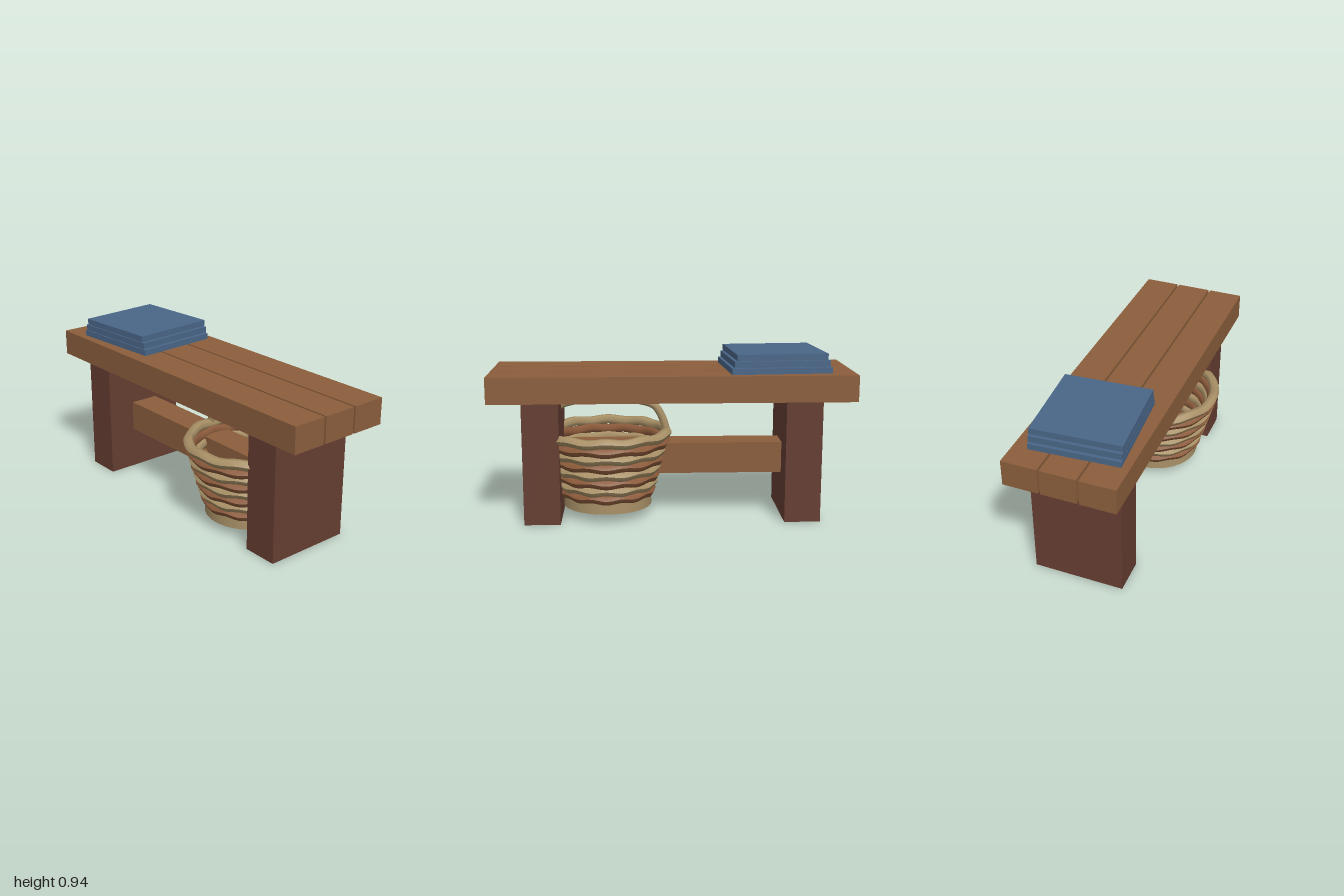
import * as THREE from 'three';

const mat = (name, color) => {
  const m = new THREE.MeshStandardMaterial({ color });
  m.name = name;
  return m;
};

export function createModel() {
  const plankWood = mat('plankWood', 0x8b5e3c);
  const legWood = mat('legWood', 0x653e32);
  const blueCloth = mat('blueCloth', 0x4a6688);
  const paleWicker = mat('paleWicker', 0xa89066);
  const brownWicker = mat('brownWicker', 0x8b5a3a);

  const model = new THREE.Group();
  model.name = 'bench';

  const add = (parent, name, geometry, material, x = 0, y = 0, z = 0) => {
    const mesh = new THREE.Mesh(geometry, material);
    mesh.name = name;
    mesh.position.set(x, y, z);
    parent.add(mesh);
    return mesh;
  };

  // Seat planks with narrow gaps
  for (const i of [-1, 0, 1]) {
    add(model, 'seatPlank', new THREE.BoxGeometry(2, 0.145, 0.193), plankWood, 0, 0.758, i * 0.205);
  }

  // Slab legs reach a little way into the gaps between the planks
  for (const side of [-1, 1]) {
    add(model, 'leg', new THREE.BoxGeometry(0.2, 0.72, 0.5), legWood, side * 0.72, 0.36, 0);
  }
  add(model, 'stretcher', new THREE.BoxGeometry(1.26, 0.175, 0.17), plankWood, 0, 0.333, 0);

  // Folded cloths, each a little narrower than the one below
  const cloths = new THREE.Group();
  cloths.name = 'foldedCloths';
  cloths.position.set(-0.577, 0.83, 0);
  cloths.rotation.y = 0.07;
  model.add(cloths);
  for (let i = 0; i < 3; i++) {
    add(cloths, 'foldedCloth', new THREE.BoxGeometry(0.552 - i * 0.026, 0.034, 0.482), blueCloth, 0, 0.017 + i * 0.0375, 0);
  }

  // Basket under the seat
  const basket = new THREE.Group();
  basket.name = 'basket';
  basket.position.x = 0.365;
  model.add(basket);
  add(basket, 'basketBase', new THREE.CylinderGeometry(0.25, 0.25, 0.07, 40), paleWicker, 0, 0.09, 0);

  // Wavy woven rings, alternating in colour and phase
  const ringCount = 8;
  for (let i = 0; i < ringCount; i++) {
    const t = i / (ringCount - 1);
    const ring = new THREE.TorusGeometry(0.245 + 0.094 * t, 0.029, 6, 64);
    ring.rotateX(Math.PI / 2);
    const p = ring.attributes.position;
    for (let k = 0; k < p.count; k++) {
      const angle = Math.atan2(p.getZ(k), p.getX(k));
      p.setY(k, p.getY(k) + 0.005 * Math.cos(10 * angle + i * Math.PI));
    }
    ring.computeVertexNormals();
    add(basket, 'wovenRing', ring, i % 2 ? paleWicker : brownWicker, 0, 0.14 + 0.331 * t, 0);
  }

  // Slightly uneven hoop handle
  const half = [[0.34, 0.47], [0.315, 0.55], [0.27, 0.62], [0.165, 0.653], [0.1, 0.66]];
  const points = [
    ...half.map(([x, y]) => new THREE.Vector3(-x, y, 0)),
    new THREE.Vector3(0, 0.656, 0),
    ...half.slice().reverse().map(([x, y]) => new THREE.Vector3(x, y, 0)),
  ];
  const handle = new THREE.TubeGeometry(new THREE.CatmullRomCurve3(points), 32, 0.022, 8);
  add(basket, 'basketHandle', handle, paleWicker);

  return model;
}
